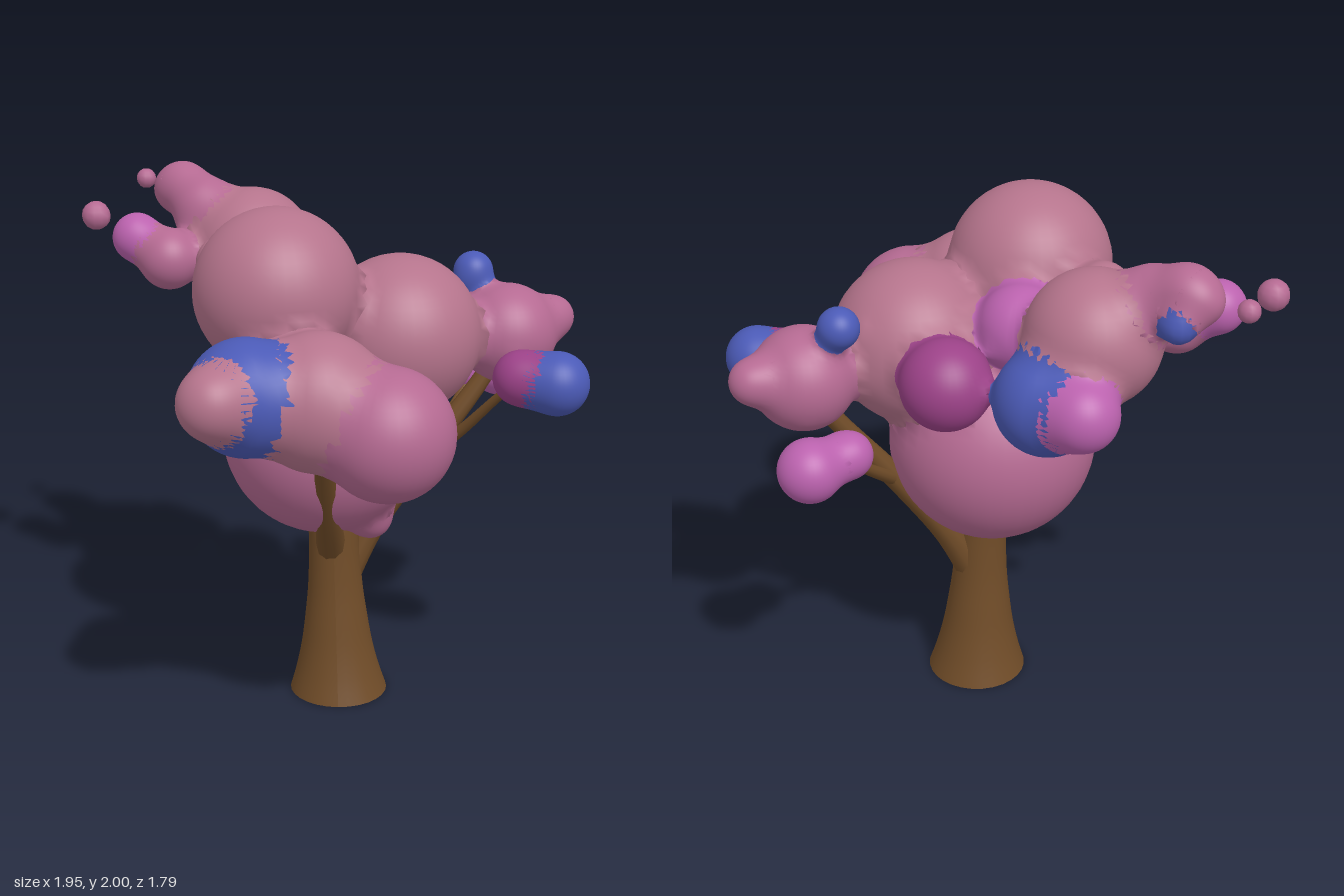
import * as THREE from 'three';

const PINK = 0xb56a92, BLUE = 0x4b5ab6, MAGENTA = 0x9c4288, ORCHID = 0xbb62ae, ROSE = 0xb5748c, BROWN = 0x704c28;

// Foliage puffs: x, y, z, radius, colour
const PUFFS = [
  // central crown
  [-0.01, 1.07, -0.07, 0.39, PINK], [-0.18, 1.68, 0.14, 0.307, ROSE], [0.275, 1.47, -0.03, 0.305, ROSE],
  [-0.09, 1.60, -0.24, 0.16, ORCHID], [-0.39, 1.70, -0.19, 0.11, ROSE], [0.17, 0.735, -0.03, 0.085, PINK],
  // front cluster
  [-0.02, 1.39, 0.55, 0.25, ROSE], [0.22, 1.30, 0.63, 0.24, PINK],
  [-0.27, 1.425, 0.61, 0.21, BLUE], [-0.37, 1.45, 0.76, 0.128, ROSE],
  // left cluster
  [0.69, 1.43, -0.20, 0.192, PINK], [0.87, 1.47, -0.285, 0.085, PINK], [0.56, 1.655, -0.275, 0.076, BLUE],
  [0.69, 1.21, -0.485, 0.117, ORCHID], [0.55, 1.225, -0.42, 0.088, ORCHID],
  [0.85, 1.34, 0.165, 0.12, BLUE], [0.72, 1.35, 0.13, 0.105, MAGENTA],
  // back cluster
  [0.20, 1.48, -0.415, 0.166, MAGENTA], [-0.13, 1.495, -0.61, 0.193, BLUE], [-0.22, 1.52, -0.77, 0.13, ORCHID],
  // right cluster and its stray tips
  [-0.30, 1.68, -0.515, 0.245, ROSE], [-0.62, 1.67, -0.39, 0.12, PINK], [-0.75, 1.74, -0.45, 0.097, ORCHID],
  [-0.92, 1.81, -0.53, 0.057, PINK], [-0.75, 1.90, -0.83, 0.04, PINK], [-0.49, 1.83, -0.57, 0.13, PINK],
  [-0.58, 1.90, -0.66, 0.10, PINK], [-0.62, 1.88, -0.70, 0.075, PINK], [-0.54, 1.81, -0.74, 0.055, BLUE],
];

// Smoothly blended distance to all puffs
function field(p, k = 0.07) {
  let d = Infinity;
  for (const [x, y, z, r] of PUFFS) {
    const s = Math.hypot(p.x - x, p.y - y, p.z - z) - r;
    const h = Math.max(k - Math.abs(d - s), 0) / k;
    d = d === Infinity ? s : Math.min(d, s) - h * h * k * 0.25;
  }
  return d;
}

// Sphere whose surface swells into a soft fillet where it meets its neighbours
function puff([x, y, z, r, color], i) {
  const geo = new THREE.SphereGeometry(r, r < 0.06 ? 12 : 40, r < 0.06 ? 8 : 28);
  const pos = geo.attributes.position, nor = geo.attributes.normal;
  const p = new THREE.Vector3(), n = new THREE.Vector3(), g = new THREE.Vector3(), q = new THREE.Vector3();
  for (let v = 0; v < pos.count; v++) {
    n.fromBufferAttribute(nor, v);
    p.fromBufferAttribute(pos, v).add(q.set(x, y, z));
    let moved = 0;
    for (let s = 0; s < 6; s++) {
      const step = Math.min(Math.max(-field(p), 0), 0.04 - moved);
      p.addScaledVector(n, step);
      moved += step;
    }
    pos.setXYZ(v, p.x, p.y, p.z);
    const e = 0.002, f = field(p);
    g.set(field(q.copy(p).setX(p.x + e)) - f, field(q.copy(p).setY(p.y + e)) - f, field(q.copy(p).setZ(p.z + e)) - f);
    if (g.lengthSq() > 1e-10 && moved < 0.039) {
      g.normalize();
      nor.setXYZ(v, g.x, g.y, g.z);
    }
  }
  const mesh = new THREE.Mesh(geo, new THREE.MeshStandardMaterial({ color }));
  mesh.name = `foliagePuff${i + 1}`;
  return mesh;
}

// Tube through points, tapering from r0 to r1
function branch(name, points, r0, r1, material) {
  const curve = new THREE.CatmullRomCurve3(points.map(a => new THREE.Vector3(...a)));
  const segs = 20, sides = 10;
  const geo = new THREE.TubeGeometry(curve, segs, 1, sides);
  const pos = geo.attributes.position, v = new THREE.Vector3();
  for (let i = 0; i <= segs; i++) {
    const c = curve.getPointAt(i / segs), r = r0 + (r1 - r0) * i / segs;
    for (let j = 0; j <= sides; j++) {
      const k = i * (sides + 1) + j;
      v.fromBufferAttribute(pos, k).sub(c).multiplyScalar(r).add(c);
      pos.setXYZ(k, v.x, v.y, v.z);
    }
  }
  const mesh = new THREE.Mesh(geo, material);
  mesh.name = name;
  return mesh;
}

export function createModel() {
  const tree = new THREE.Group();
  tree.name = 'tree';
  const bark = new THREE.MeshStandardMaterial({ color: BROWN, side: THREE.DoubleSide });

  // Flared trunk, open at the base, leaning slightly
  const profile = [[0.192, 0], [0.165, 0.09], [0.14, 0.2], [0.122, 0.32], [0.107, 0.45], [0.099, 0.6], [0.095, 0.75], [0.07, 1.0]];
  const curve = new THREE.SplineCurve(profile.map(a => new THREE.Vector2(...a)));
  const trunkGeo = new THREE.LatheGeometry(curve.getPoints(24), 28);
  const tp = trunkGeo.attributes.position;
  for (let i = 0; i < tp.count; i++) {
    const y = tp.getY(i);
    tp.setX(i, tp.getX(i) + 0.048 - 0.03 * y);
    tp.setZ(i, tp.getZ(i) - 0.035);
  }
  trunkGeo.computeVertexNormals();
  const trunk = new THREE.Mesh(trunkGeo, bark);
  trunk.name = 'trunk';
  tree.add(trunk);

  // Limbs and twigs
  const limbs = [
    ['leftLimb', [[0.06, 0.45, -0.05], [0.17, 0.67, -0.08], [0.37, 0.95, -0.115], [0.6, 1.26, -0.17], [0.69, 1.42, -0.2]], 0.06, 0.03],
    ['leftBackTwig', [[0.36, 0.93, -0.11], [0.46, 1.05, -0.24], [0.56, 1.18, -0.38]], 0.028, 0.018],
    ['leftFrontTwig', [[0.36, 0.93, -0.11], [0.52, 1.1, -0.02], [0.63, 1.24, 0.06], [0.72, 1.35, 0.13]], 0.026, 0.014],
    ['frontLimb', [[0.02, 0.58, -0.02], [0.01, 0.8, 0.16], [0, 1.04, 0.33], [0, 1.2, 0.43], [-0.02, 1.38, 0.55]], 0.06, 0.025],
    ['frontTwig', [[0, 1.06, 0.34], [0.06, 1.13, 0.43], [0.18, 1.25, 0.58]], 0.022, 0.014],
    ['backLimb', [[0.02, 0.75, -0.05], [-0.08, 1.1, -0.28], [-0.17, 1.33, -0.45], [-0.27, 1.6, -0.52]], 0.06, 0.03],
    ['backTwig', [[0.02, 0.9, -0.06], [0.12, 1.2, -0.3], [0.2, 1.46, -0.42]], 0.035, 0.018],
  ];
  for (const [name, pts, r0, r1] of limbs) tree.add(branch(name, pts, r0, r1, bark));

  // Foliage
  const foliage = new THREE.Group();
  foliage.name = 'foliage';
  PUFFS.forEach((p, i) => foliage.add(puff(p, i)));
  tree.add(foliage);
  return tree;
}
